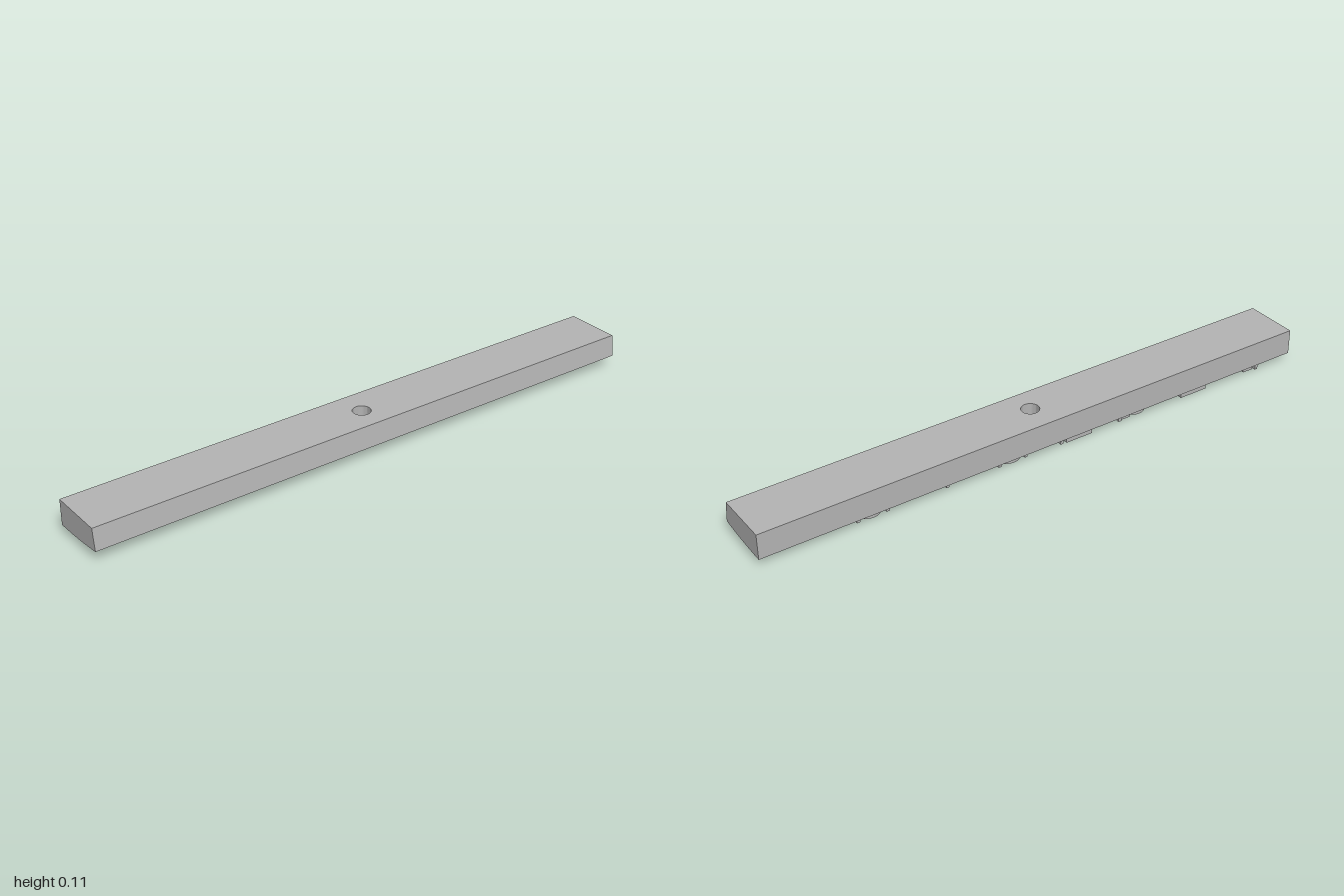
import * as THREE from 'three';
import { toCreasedNormals } from 'three/addons/utils/BufferGeometryUtils.js';

// Height of the gently curved underside
const under = x => 0.028 + 0.35 * (x + 0.1) ** 2;
const TOP = 0.115, HOLE = 0.03, SIDE = 12, N = SIDE * 4, STEPS = 8;

// Point i around the rectangular outline, or around the hole
function outline(i, xMax) {
  const side = Math.floor(i / SIDE) % 4, s = (i % SIDE) / SIDE;
  const [u, v] = [[1, 2 * s - 1], [1 - 2 * s, 1], [-1, 1 - 2 * s], [2 * s - 1, -1]][side];
  return [u > 0 ? u * xMax : u * 0.1, v];
}
function rim(i) {
  const a = -Math.PI / 4 + (i / N) * Math.PI * 2;
  return [HOLE * Math.cos(a), HOLE * Math.sin(a)];
}

// Bar with a vertical hole: closed loops over the top, down the sides and back underneath
function barGeometry() {
  const loops = [];
  for (const top of [true, false]) {
    for (let k = 0; k <= STEPS; k++) {
      const t = top ? k / STEPS : 1 - k / STEPS;
      loops.push(i => {
        const [cx, cz] = rim(i), [ox, oz] = outline(i, top ? 0.09 : 0.1);
        const x = cx + (ox - cx) * t;
        return [x, top ? TOP : under(x), cz + (oz - cz) * t];
      });
    }
  }
  const pos = [], index = [];
  loops.forEach((loop, j) => {
    const next = (j + 1) % loops.length;
    for (let i = 0; i < N; i++) {
      pos.push(...loop(i));
      const a = j * N + i, b = j * N + (i + 1) % N;
      const c = next * N + i, d = next * N + (i + 1) % N;
      index.push(a, b, c, b, d, c);
    }
  });
  const g = new THREE.BufferGeometry();
  g.setAttribute('position', new THREE.Float32BufferAttribute(pos, 3));
  g.setIndex(index);
  return toCreasedNormals(g, 0.4);
}

// Raised shape that follows the curved underside
function reliefGeometry(shape, x, z, turn = 0) {
  const g = new THREE.ExtrudeGeometry(shape, { depth: 1, bevelEnabled: false, curveSegments: 20 });
  g.rotateX(-Math.PI / 2).rotateY(turn).translate(x, 0, z);
  const p = g.attributes.position;
  for (let i = 0; i < p.count; i++) p.setY(i, under(p.getX(i)) - 0.027 + p.getY(i) * 0.03);
  return toCreasedNormals(g, 0.5);
}

function ringShape(outer, inner) {
  const s = new THREE.Shape().absarc(0, 0, outer, 0, Math.PI * 2);
  s.holes.push(new THREE.Path().absarc(0, 0, inner, 0, Math.PI * 2, true));
  return s;
}

function stripShape(w, l) {
  return new THREE.Shape([[-w, -l], [w, -l], [w, l], [-w, l]].map(([x, y]) => new THREE.Vector2(x / 2, y / 2)));
}

export function createModel() {
  const group = new THREE.Group();
  const grey = new THREE.MeshStandardMaterial({ color: 0xb4b4b4 });
  grey.name = 'plain grey';
  const add = (name, geometry) => {
    const m = new THREE.Mesh(geometry, grey);
    m.name = name;
    group.add(m);
  };

  add('bar', barGeometry());

  // Rings under the bar
  for (const z of [-0.615, -0.115, 0.375]) add('raisedRing', reliefGeometry(ringShape(0.044, 0.025), -0.035, z));

  // Ribs along the right edge: x, z, length
  for (const [x, z, l] of [[-0.075, 0.598, 0.105], [-0.075, 0.132, 0.1], [-0.068, 0.315, 0.05],
    [-0.06, 0.895, 0.05], [-0.07, 0.84, 0.04]]) {
    add('rib', reliefGeometry(stripShape(0.016, l), x, z));
  }

  // Slanted rib
  const dx = -0.045, dz = -0.112;
  add('slantedRib', reliefGeometry(stripShape(0.014, Math.hypot(dx, dz)), -0.015, -0.402, Math.atan2(dx, dz)));

  // Small studs: x, z
  for (const [x, z] of [[-0.065, -0.665], [-0.065, -0.565], [-0.065, -0.355], [0.002, -0.182],
    [-0.065, -0.165], [-0.065, -0.068], [-0.07, 0.066], [-0.07, 0.295], [-0.075, 0.87], [0.0, -0.937]]) {
    add('stud', reliefGeometry(stripShape(0.022, 0.011), x, z));
  }
  return group;
}
